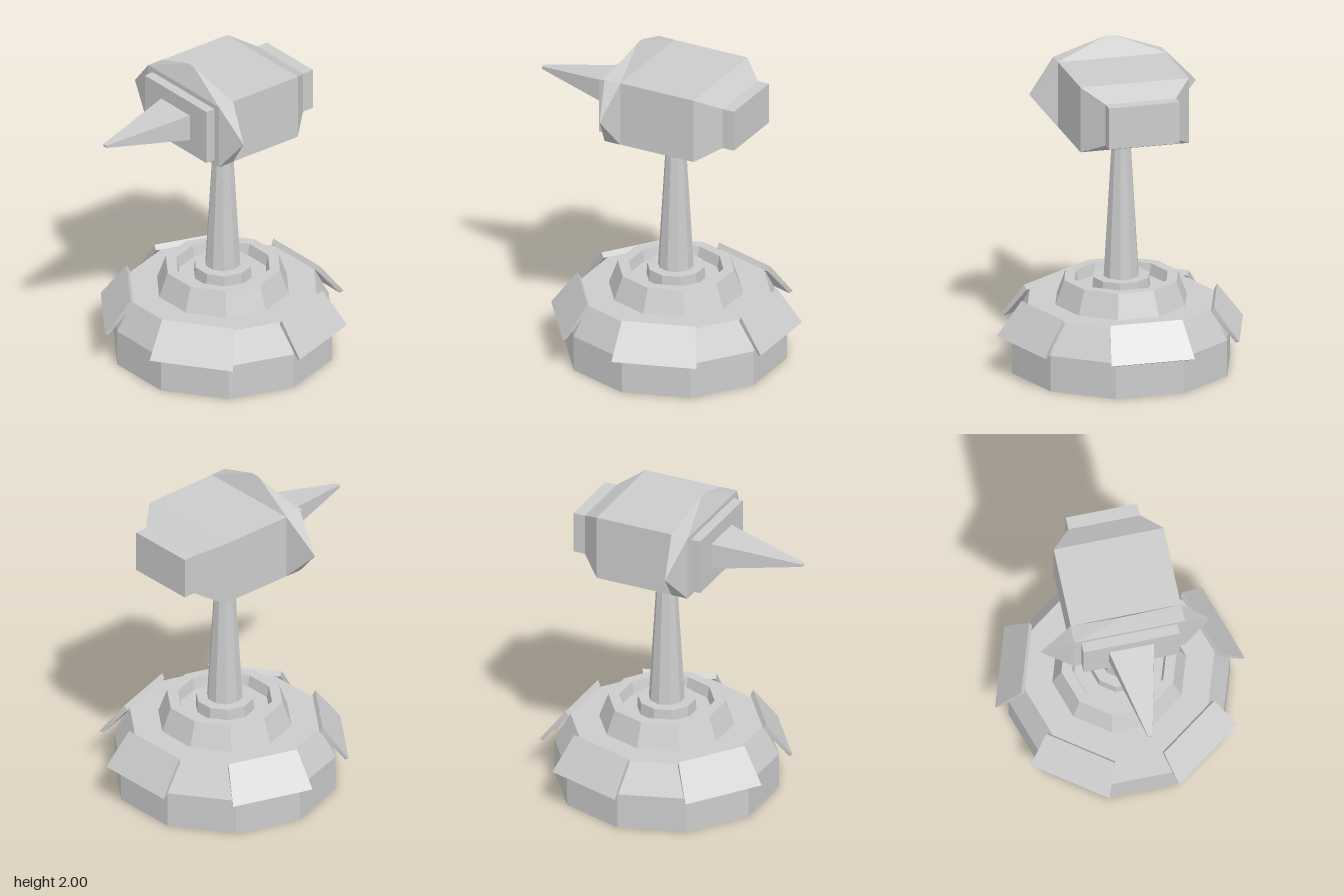
import * as THREE from 'three';
import { ConvexGeometry } from 'three/addons/geometries/ConvexGeometry.js';

const SIDES = 10;
const AXIS_Z = -0.095; // vertical axis of base and column

const material = new THREE.MeshStandardMaterial({ color: 0xcccccc, flatShading: true });

function part(parent, name, geometry) {
  const mesh = new THREE.Mesh(geometry, material);
  mesh.name = name;
  parent.add(mesh);
  return mesh;
}

// Ten-sided turned shape with a flat facing the front
function turned(profile) {
  const points = profile.map(([r, y]) => new THREE.Vector2(r, y));
  return new THREE.LatheGeometry(points, SIDES, Math.PI / SIDES);
}

// Skin four-cornered rings, ordered back to front, and cap both ends
function loft(rings) {
  const positions = rings.flat(2);
  const index = [];
  const quad = (a, b, c, d) => index.push(a, b, c, a, c, d);
  for (let i = 0; i < rings.length - 1; i++) {
    for (let j = 0; j < 4; j++) {
      const k = (j + 1) % 4;
      quad(i * 4 + j, i * 4 + k, i * 4 + 4 + k, i * 4 + 4 + j);
    }
  }
  const last = (rings.length - 1) * 4;
  quad(3, 2, 1, 0);
  quad(last, last + 1, last + 2, last + 3);
  const geometry = new THREE.BufferGeometry();
  geometry.setAttribute('position', new THREE.Float32BufferAttribute(positions, 3));
  geometry.setIndex(index);
  const flat = geometry.toNonIndexed();
  flat.computeVertexNormals();
  return flat;
}

// Upright rectangle centred at height y
const rect = (w, h, y, z) => [[-w, y - h, z], [w, y - h, z], [w, y + h, z], [-w, y + h, z]];

// Sloping panel ring: lower edge and upper edge as [half width, y, distance]
const slope = ([w0, y0, z0], [w1, y1, z1]) =>
  [[-w0, y0, z0], [w0, y0, z0], [w1, y1, z1], [-w1, y1, z1]];

export function createModel() {
  const model = new THREE.Group();
  model.name = 'turret';

  // Base with raised rim, sunken well and central collar
  const stand = new THREE.Group();
  stand.name = 'stand';
  stand.position.z = AXIS_Z;
  model.add(stand);
  part(stand, 'base', turned([
    [0, 0], [0.68, 0], [0.68, 0.225], [0.585, 0.41], [0.41, 0.41],
    [0.355, 0.56], [0.29, 0.56], [0.275, 0.49], [0, 0.49],
  ]));
  part(stand, 'collar', turned([[0.18, 0.48], [0.175, 0.565], [0, 0.565]]));
  part(stand, 'column', turned([[0.11, 0.55], [0.055, 1.48]]));

  // Five armour panels around the base, one at the back
  for (let i = 0; i < 5; i++) {
    const panel = part(stand, 'armourPanel', loft([
      slope([0.25, 0.225, 0.7], [0.22, 0.41, 0.55]),
      slope([0.26, 0.235, 0.722], [0.225, 0.44, 0.568]),
    ]));
    panel.rotation.y = Math.PI + (i * Math.PI * 2) / 5;
  }

  // Head: body with tapered rear block
  const head = new THREE.Group();
  head.name = 'head';
  model.add(head);
  part(head, 'body', loft([
    rect(0.22, 0.13, 1.67, -0.612), rect(0.22, 0.13, 1.67, -0.535),
    rect(0.338, 0.205, 1.67, -0.4), rect(0.338, 0.205, 1.67, 0.1),
  ]));

  // Flared shield with pointed sides and a peaked top
  const corners = [0.1, 0.208].flatMap((z) => rect(0.34, 0.205, 1.67, z));
  const tips = [[-0.537, 1.67, 0.152], [0.505, 1.67, 0.152], [-0.03, 2, 0.152], [0.03, 2, 0.152]];
  part(head, 'shield', new ConvexGeometry(
    [...corners, ...tips].map((p) => new THREE.Vector3(...p))));

  // Face plate and tapered barrel
  part(head, 'facePlate', loft([rect(0.295, 0.175, 1.67, 0.2), rect(0.295, 0.175, 1.67, 0.27)]));
  part(head, 'barrel', loft([rect(0.14, 0.085, 1.67, 0.26), rect(0.014, 0.008, 1.673, 0.815)]));

  return model;
}
